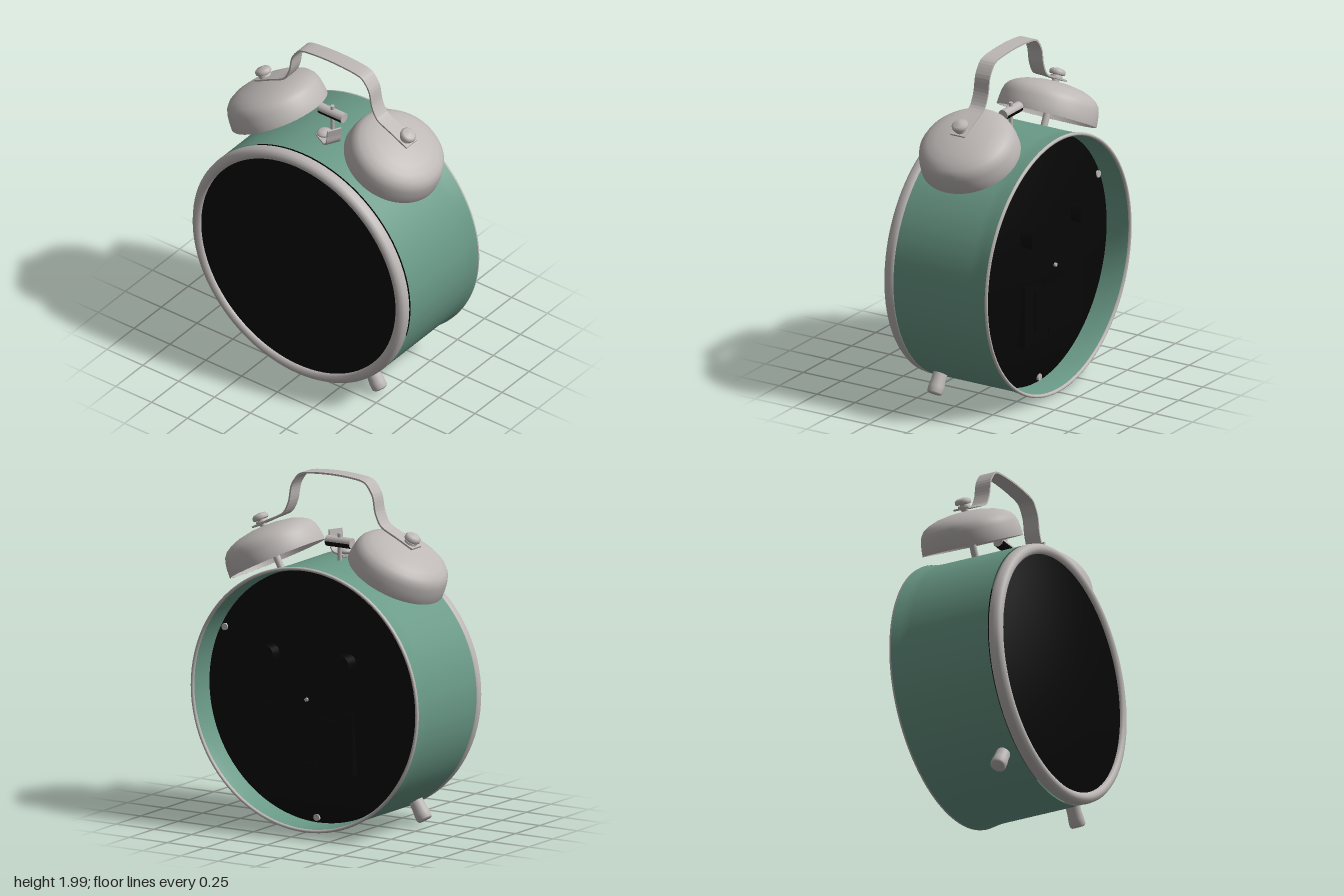
import * as THREE from 'three';

const mat = (name, color, side = THREE.DoubleSide) => {
  const m = new THREE.MeshStandardMaterial({ color, side });
  m.name = name;
  return m;
};
const green = mat('green enamel', 0x6a9a88);
const steel = mat('satin steel', 0xbdb8b6);
const black = mat('black', 0x060606);

const CY = 0.76;      // height of the clock axis
const BELL_Z = -0.037; // plane of bells, hammer and handle

export function createModel() {
  const model = new THREE.Group();
  model.name = 'alarmClock';

  const add = (name, geo, material, parent = model, x = 0, y = 0, z = 0) => {
    const mesh = new THREE.Mesh(geo, material);
    mesh.name = name;
    mesh.position.set(x, y, z);
    parent.add(mesh);
    return mesh;
  };
  const lathe = (pts, seg = 96) =>
    new THREE.LatheGeometry(pts.map(([r, h]) => new THREE.Vector2(r, h)), seg);
  // Turned around the clock's front-to-back axis: profile is [radius, z]
  const turned = (name, pts, material) =>
    add(name, lathe(pts).rotateX(Math.PI / 2), material, model, 0, CY, 0);
  const rod = (name, r, z0, z1, material, x, y, seg = 24) =>
    add(name, new THREE.CylinderGeometry(r, r, z1 - z0, seg).rotateX(Math.PI / 2),
      material, model, x, y, (z0 + z1) / 2);
  // Shallow dish: z runs from zMid at the centre to zEdge at radius r
  const dish = (r, zEdge, zMid) => Array.from({ length: 13 }, (_, i) => {
    const t = 1 - i / 12;
    return [r * t, zMid + (zEdge - zMid) * t * t];
  });
  // Bent strip of metal, drawn in x/y and given a width in z
  const strip = (pts, thick, width, n) => {
    const curve = new THREE.CatmullRomCurve3(
      pts.map(([x, y]) => new THREE.Vector3(x, y, 0)), false, 'centripetal');
    const edge = side => Array.from({ length: n + 1 }, (_, i) => {
      const p = curve.getPointAt(i / n), t = curve.getTangentAt(i / n);
      return new THREE.Vector2(p.x - t.y * side, p.y + t.x * side);
    });
    const shape = new THREE.Shape([...edge(-thick / 2), ...edge(thick / 2).reverse()]);
    return new THREE.ExtrudeGeometry(shape, { depth: width, bevelEnabled: false })
      .translate(0, 0, -width / 2);
  };

  // Case with a flared back edge and a hollow back
  turned('caseShell', [[0.753, -0.362], [0.75, -0.34], [0.745, -0.305], [0.742, -0.28],
    [0.741, -0.25], [0.741, 0.252]], green);
  turned('caseInnerWall', [[0.738, -0.364], [0.725, -0.3], [0.722, -0.2]], green);
  turned('backRim', [[0.735, -0.358], [0.737, -0.369], [0.745, -0.373], [0.752, -0.369],
    [0.754, -0.358]], steel);

  // Front bezel and domed glass
  turned('bezel', [[0.7, 0.25], [0.73, 0.252], [0.74, 0.262], [0.742, 0.28], [0.739, 0.304],
    [0.727, 0.321], [0.708, 0.328], [0.69, 0.322], [0.68, 0.31], [0.677, 0.29]], steel);
  turned('glass', dish(0.682, 0.304, 0.384), black);

  // Bulging back panel with battery box, winding knobs, shaft and screws
  turned('backPanel', dish(0.724, -0.222, -0.34).reverse(), black);
  add('batteryBox', new THREE.BoxGeometry(0.6, 0.36, 0.08), black, model, 0, CY - 0.23, -0.295);
  add('batteryDoor', new THREE.BoxGeometry(0.4, 0.24, 0.009), black, model, 0, CY - 0.22, -0.339);
  add('doorLatch', new THREE.BoxGeometry(0.12, 0.04, 0.014), black, model, 0, CY - 0.38, -0.338);
  for (const s of [-1, 1]) rod('settingKnob', 0.055, -0.384, -0.28, black, s * 0.25, 0.99);
  rod('settingShaft', 0.011, -0.352, -0.32, steel, 0, CY, 12);
  for (const a of [28, 152, 270]) {
    const t = THREE.MathUtils.degToRad(a);
    rod('panelScrew', 0.02, -0.245, -0.215, steel, 0.69 * Math.cos(t), CY + 0.69 * Math.sin(t), 16);
  }

  for (const s of [-1, 1]) {
    const side = s > 0 ? 'left' : 'right';

    // Foot, pointing away from the clock axis
    const foot = add(side + 'Foot', lathe([[0, -0.14], [0.036, -0.14], [0.045, -0.13],
      [0.045, -0.095], [0.041, -0.06], [0.041, 0.02]], 24), steel, model, s * 0.388, CY - 0.605, 0.16);
    foot.rotation.z = s * 0.55;

    // Tilted bell on its post, with washer and cap nut
    const bell = new THREE.Group();
    bell.name = side + 'Bell';
    bell.position.set(s * 0.392, 1.46, BELL_Z);
    bell.rotation.z = -s * 0.47;
    model.add(bell);
    add('bellShell', lathe([[0.281, 0], [0.287, 0], [0.284, 0.045], [0.278, 0.085], [0.268, 0.114],
      [0.248, 0.139], [0.212, 0.161], [0.16, 0.18], [0.08, 0.194], [0, 0.198]], 64), steel, bell);
    add('bellPost', new THREE.CylinderGeometry(0.02, 0.02, 0.34, 20), steel, bell, 0, 0.04, 0);
    add('bellWasher', new THREE.CylinderGeometry(0.034, 0.038, 0.018, 24), steel, bell, 0, 0.222, 0);
    add('bellStud', new THREE.CylinderGeometry(0.02, 0.02, 0.05, 16), steel, bell, 0, 0.22, 0);
    add('bellNut', lathe([[0, 0.236], [0.04, 0.236], [0.046, 0.241], [0.046, 0.258],
      [0.034, 0.269], [0, 0.275]], 24), steel, bell);
  }

  // Carrying handle
  const half = [[0.53, 1.63], [0.43, 1.681], [0.345, 1.722], [0.322, 1.738], [0.288, 1.805],
    [0.272, 1.89], [0.262, 1.915], [0.222, 1.968], [0.195, 1.98], [0.12, 1.99]];
  const path = [...half.map(([x, y]) => [-x, y]), [0, 1.995], ...half.slice().reverse()];
  add('handle', strip(path, 0.01, 0.095, 72), steel, model, 0, 0, BELL_Z);

  // Hammer on an upright stem, with a dark pad under the head
  add('hammerStem', new THREE.CylinderGeometry(0.012, 0.012, 0.18, 16), steel,
    model, -0.022, 1.565, BELL_Z);
  add('hammerHead', new THREE.CylinderGeometry(0.03, 0.03, 0.165, 24).rotateZ(Math.PI / 2),
    steel, model, -0.022, 1.605, BELL_Z);
  add('hammerPad', new THREE.CylinderGeometry(0.031, 0.031, 0.16, 16, 1, true, 0, Math.PI)
    .rotateZ(-Math.PI / 2), black, model, -0.022, 1.605, BELL_Z);

  // Curled stop lever with its screw
  const lever = add('stopLever', strip([[-0.04, 0], [0.03, 0], [0.08, 0.006], [0.108, 0.035],
    [0.115, 0.08], [0.122, 0.122]], 0.01, 0.085, 24), steel, model, 0, 1.515, 0.06);
  lever.rotation.y = -0.49;
  add('leverBase', new THREE.CylinderGeometry(0.03, 0.03, 0.04, 24), steel, model, -0.005, 1.505, 0.06);
  add('leverScrew', lathe([[0.03, 0], [0.043, 0.007], [0.043, 0.018], [0.025, 0.028], [0, 0.031]], 24),
    steel, model, -0.005, 1.523, 0.06);

  return model;
}
